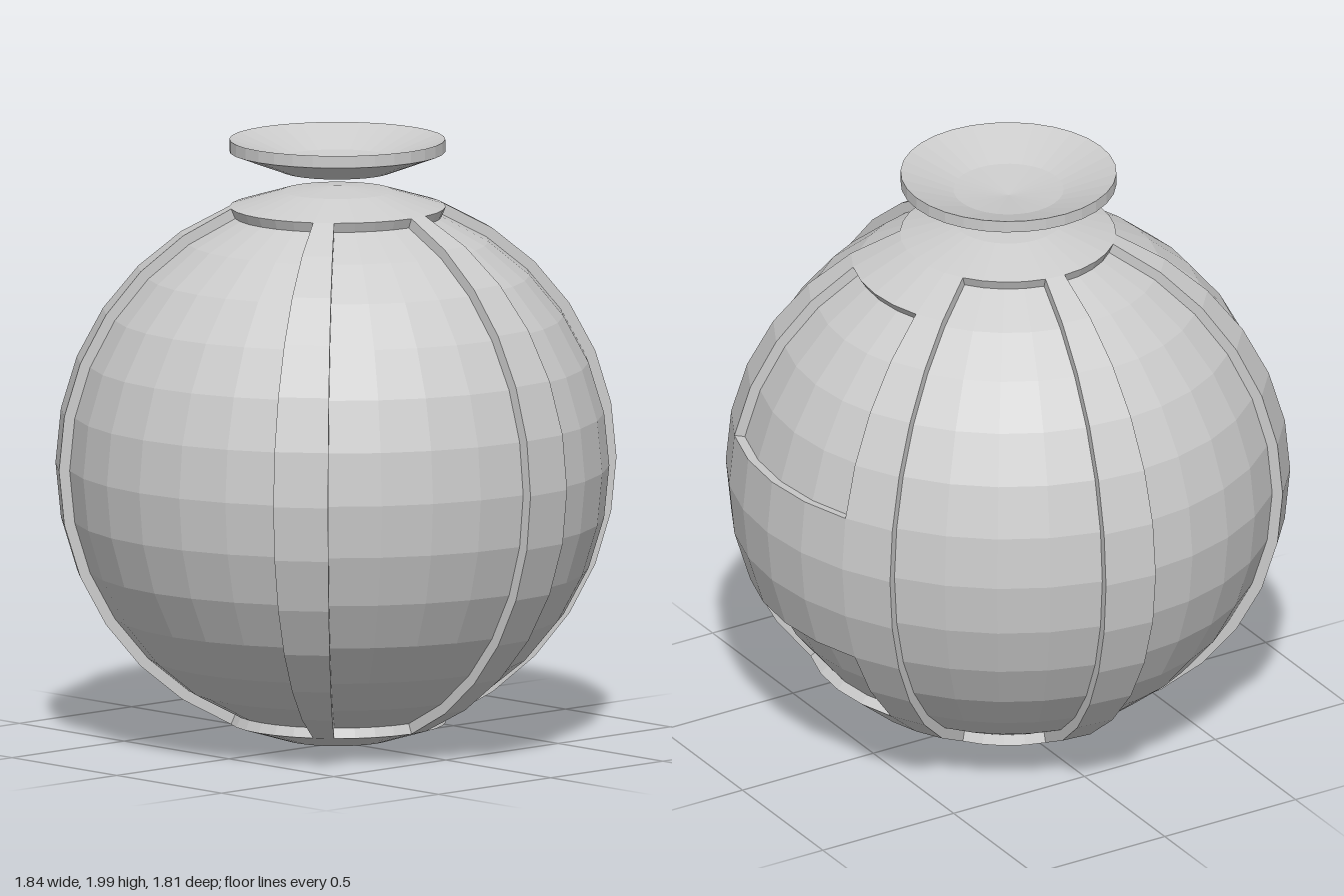
import * as THREE from 'three';

const STEP = 11.25;            // degrees per facet, both ways
const OUTER = 0.92, INNER = 0.885;
const CAP = 67.5;              // elevation where the end caps begin

const material = new THREE.MeshStandardMaterial({ color: 0xcccccc, flatShading: true });

// Raised shell plate: a box bent so x = azimuth from the front, y = elevation, z = radius
function plate(name, az0, az1, el0, el1) {
  const geo = new THREE.BoxGeometry(1, 1, 1,
    Math.round((az1 - az0) / STEP), Math.round((el1 - el0) / STEP), 1);
  const p = geo.attributes.position;
  for (let i = 0; i < p.count; i++) {
    const a = THREE.MathUtils.degToRad(az0 + (p.getX(i) + 0.5) * (az1 - az0));
    const e = THREE.MathUtils.degToRad(el0 + (p.getY(i) + 0.5) * (el1 - el0));
    const r = p.getZ(i) > 0 ? OUTER : INNER - 0.015;
    p.setXYZ(i, r * Math.cos(e) * Math.sin(a), r * Math.sin(e), r * Math.cos(e) * Math.cos(a));
  }
  geo.computeVertexNormals();
  const mesh = new THREE.Mesh(geo, material);
  mesh.name = name;
  return mesh;
}

export function createModel() {
  const model = new THREE.Group();
  model.name = 'ribbedBall';

  const ball = new THREE.Group();
  ball.name = 'ball';
  ball.position.set(0, 0.928, 0.015);
  model.add(ball);

  // Recessed ball seen between the ribs
  const core = new THREE.Mesh(new THREE.SphereGeometry(INNER, 32, 16), material);
  core.name = 'innerBall';
  ball.add(core);

  // End caps
  ball.add(plate('topCap', 0, 360, CAP, 90), plate('bottomCap', 0, 360, -90, -CAP));

  // Mirrored upright ribs: front, side, and the uprights of the back frame
  const ribs = { FrontRib: 33.75, SideRib: 90, BackRib: 146.25 };
  for (const [name, az] of Object.entries(ribs)) {
    ball.add(plate('left' + name, az, az + STEP, -CAP, CAP));
    ball.add(plate('right' + name, -az - STEP, -az, -CAP, CAP));
  }

  // Back frame crosspieces, leaving two recessed windows
  ball.add(
    plate('backTopBar', 157.5, 202.5, 56.25, CAP),
    plate('backMiddleBar', 157.5, 202.5, -22.5, 11.25),
    plate('backBottomBar', 157.5, 202.5, -CAP, -45),
  );

  // Dished disc floating above the ball
  const profile = [[0, 1.873], [0.18, 1.895], [0.352, 1.96], [0.352, 2], [0.18, 1.937], [0, 1.915]]
    .map(([r, y]) => new THREE.Vector2(r, y));
  const disc = new THREE.Mesh(new THREE.LatheGeometry(profile, 32), material);
  disc.name = 'topDisc';
  disc.position.z = 0.017;
  model.add(disc);

  return model;
}
